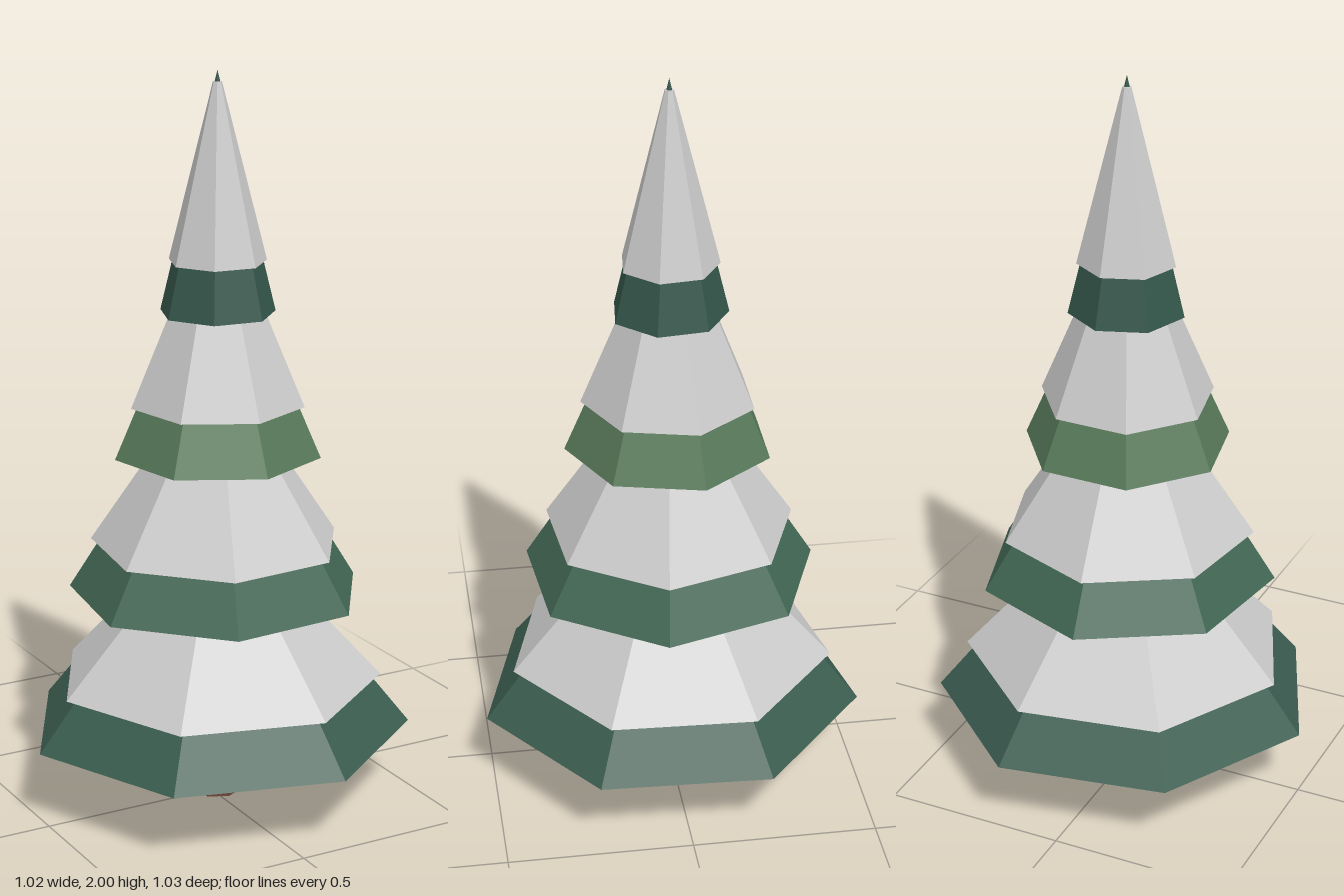
import * as THREE from 'three';

const SIDES = 7;

const material = (color) => new THREE.MeshStandardMaterial({ color, flatShading: true });

// Seven-sided cone or frustum standing on height y0, turned by angle
function frustum(name, rBottom, rTop, y0, y1, angle, mat) {
  const geometry = new THREE.CylinderGeometry(rTop, rBottom, y1 - y0, SIDES, 1, false, angle);
  geometry.translate(0, (y0 + y1) / 2, 0);
  const mesh = new THREE.Mesh(geometry, mat);
  mesh.name = name;
  return mesh;
}

export function createModel() {
  const tree = new THREE.Group();
  tree.name = 'snowyTree';
  tree.position.set(0.02, 0, -0.005);

  tree.add(frustum('trunk', 0.068, 0.064, 0, 0.25, 0, material(0x6b4636)));

  // Branch tiers from the ground up; each is a green cone under a snow cone
  const tiers = [
    { y: 0.2, top: 0.86, r: 0.53, snowR: 0.45, snowTop: 0.82, snowTopR: 0.005, angle: 0.18, color: 0x3b5d50 },
    { y: 0.585, top: 1.24, r: 0.405, snowR: 0.345, snowTop: 1.23, snowTopR: 0.005, angle: 0.53, color: 0x426754 },
    { y: 0.975, top: 1.62, r: 0.281, snowR: 0.236, snowTop: 1.66, snowTopR: 0.005, angle: -0.02, color: 0x587a5a },
    { y: 1.36, top: 2.0, r: 0.157, snowR: 0.133, snowTop: 1.97, snowTopR: 0.012, angle: 0.34, color: 0x35574b },
  ];
  tiers.forEach((t, i) => {
    const tier = new THREE.Group();
    tier.name = `tier${i + 1}`;
    tier.add(frustum('branches', t.r, 0, t.y, t.top, t.angle, material(t.color)));
    tier.add(frustum('snow', t.snowR, t.snowTopR, t.y + 0.138, t.snowTop, t.angle, material(0xcccccc)));
    tree.add(tier);
  });

  const model = new THREE.Group();
  model.name = 'model';
  model.add(tree);
  return model;
}
